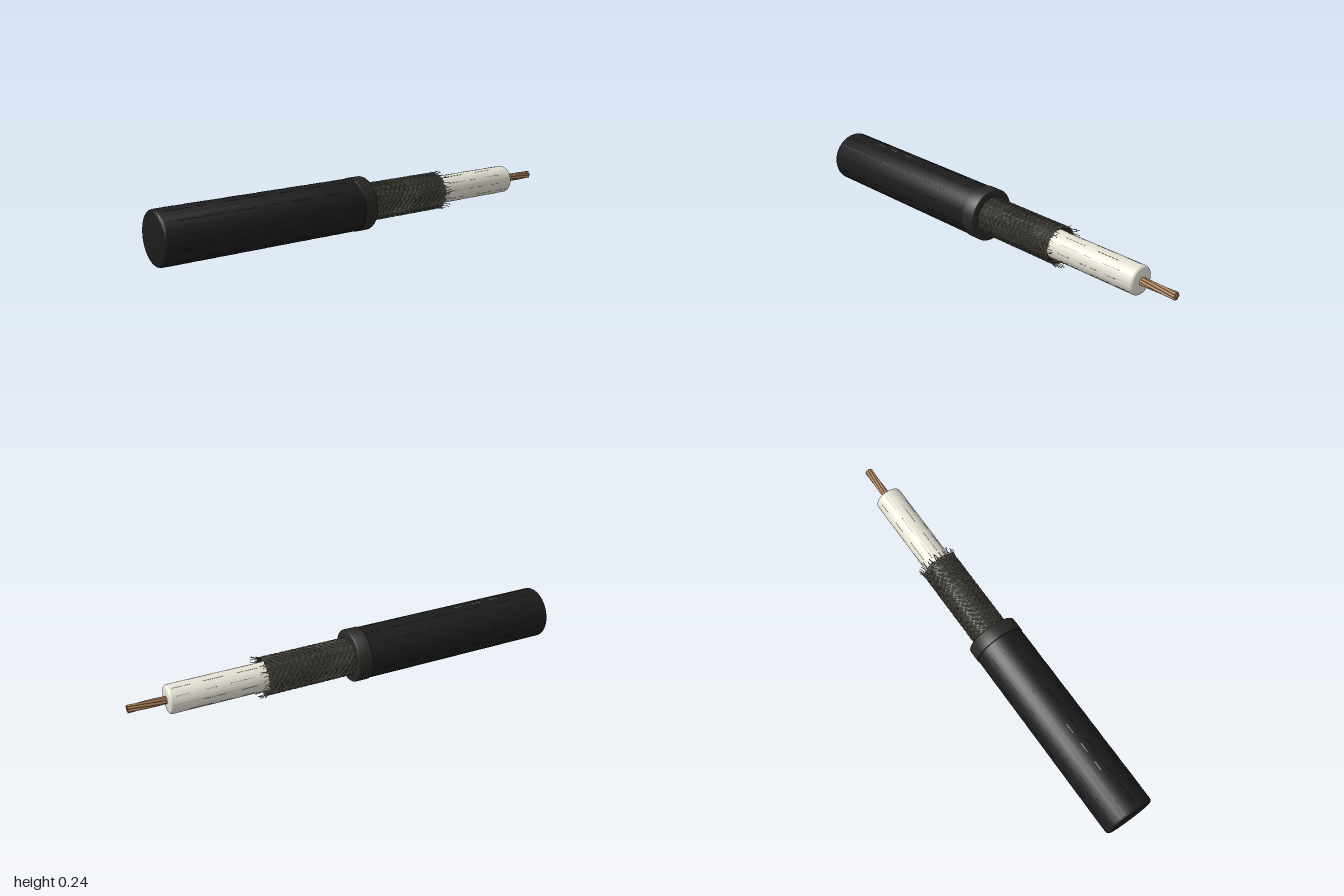
import * as THREE from 'three';
import { mergeGeometries, toCreasedNormals } from 'three/addons/utils/BufferGeometryUtils.js';

const mat = (color, side = THREE.FrontSide) => new THREE.MeshStandardMaterial({ color, side });

// small seeded generator for the frayed ends and scuffs
let seed = 7;
const rnd = () => {
  seed = (seed * 16807) % 2147483647;
  return seed / 2147483647;
};

// revolve [radius, x] pairs around the cable axis (x)
function turned(name, pairs, color) {
  const pts = pairs.map(([r, x]) => new THREE.Vector2(r, x));
  const geo = toCreasedNormals(new THREE.LatheGeometry(pts, 64).rotateZ(-Math.PI / 2), 0.6);
  const mesh = new THREE.Mesh(geo, mat(color));
  mesh.name = name;
  return mesh;
}

// quarter-round corner between an end face and the side wall
function corner(r, x, b, dir) {
  const out = [];
  for (let i = 0; i <= 5; i++) {
    const a = (i / 5) * Math.PI / 2;
    out.push([r - b + b * Math.sin(a), x - dir * (b - b * Math.cos(a))]);
  }
  return dir < 0 ? out : out.reverse();
}

const polar = (x, r, a) => new THREE.Vector3(x, r * Math.cos(a), r * Math.sin(a));

// tube through points given by f(t), t in 0..1
function wire(f, n, radius, sides) {
  const pts = [];
  for (let i = 0; i <= n; i++) pts.push(f(i / n));
  return new THREE.TubeGeometry(new THREE.CatmullRomCurve3(pts), n, radius, sides);
}

function merged(name, geos, color, side) {
  const mesh = new THREE.Mesh(mergeGeometries(geos), mat(color, side));
  mesh.name = name;
  return mesh;
}

// thin raised lines lying lengthwise on a cylinder
function dashes(name, r, x0, x1, rows, color) {
  const geos = [];
  for (let k = 0; k < rows; k++) {
    const a = ((k + 0.5) / rows) * Math.PI * 2;
    for (let x = x0 + rnd() * 0.05; x < x1 - 0.06;) {
      const len = Math.min(0.03 + rnd() * 0.08, x1 - x);
      geos.push(new THREE.BoxGeometry(len, 0.0012, 0.002).translate(x + len / 2, r, 0).rotateX(a));
      x += len + 0.02 + rnd() * 0.06;
    }
  }
  return merged(name, geos, color);
}

export function createModel() {
  const model = new THREE.Group();
  const cable = new THREE.Group();
  cable.name = 'cable';
  model.add(cable);

  // outer jacket with rounded rear end
  cable.add(turned('outerJacket', [
    [0, -0.996], ...corner(0.116, -0.996, 0.015, -1), [0.116, -0.06], [0.08, -0.06],
  ], 0x1c1c1c));
  cable.add(dashes('jacketScuffs', 0.116, -0.96, -0.08, 12, 0x121212));

  // light marks along the top of the jacket
  const marks = [-0.76, -0.665, -0.565].map((x) =>
    new THREE.BoxGeometry(0.045, 0.0014, 0.004).translate(x, 0.1162, 0));
  cable.add(merged('jacketMarks', marks, 0x8a8a84));

  // cut collar at the end of the jacket
  cable.add(turned('jacketCollar', [
    [0.114, -0.07], [0.119, -0.066], ...corner(0.119, -0.002, 0.008, 1), [0.084, -0.002], [0.08, -0.03],
  ], 0x2a2826));

  // dark sleeve beneath the braid, open around the insulation
  cable.add(turned('braidSleeve', [
    [0.08, -0.05], [0.08, 0.4], [0.077, 0.4], [0.07, 0.385], [0.06, 0.385],
  ], 0x34332e));

  // woven braid: bands of three wires in both directions, passing over and under
  const bands = 16;
  const braid = [];
  for (const dir of [-1, 1]) {
    for (let b = 0; b < bands; b++) {
      for (let w = -1; w <= 1; w++) {
        const start = ((b + w * 0.24) / bands) * Math.PI * 2;
        braid.push(wire((t) => {
          const turn = t * Math.PI * 2;
          const lift = 0.0018 * dir * Math.cos(turn * bands / 2 + b * Math.PI);
          return polar(-0.01 + t * 0.415, 0.0825 + lift, start + dir * turn);
        }, 72, 0.0017, 4));
      }
    }
  }
  cable.add(merged('braid', braid, 0x6e6c60));

  // loose wires at the cut end of the braid
  const frays = [];
  for (let i = 0; i < 56; i++) {
    const a = ((i + rnd() * 0.8) / 56) * Math.PI * 2;
    const len = 0.02 + rnd() * 0.035;
    const flare = -0.003 + rnd() * 0.014;
    const sweep = (rnd() - 0.5) * 0.35;
    frays.push(wire((t) => polar(0.39 + t * len, 0.083 + flare * t * t, a + sweep * t), 4, 0.0014, 4));
  }
  cable.add(merged('frayedWires', frays, 0x8c8a7e, THREE.DoubleSide));

  // pale inner insulation with rounded end
  cable.add(turned('insulation', [
    [0.063, 0.36], ...corner(0.063, 0.832, 0.012, 1), [0, 0.832],
  ], 0xe4e1d4));
  cable.add(dashes('insulationScuffs', 0.063, 0.42, 0.81, 10, 0x8e8b80));

  // twisted conductor: one core strand and six around it
  const strands = [];
  for (let k = 0; k < 7; k++) {
    const r = k < 6 ? 0.0118 : 0;
    const f = (t) => polar(0.81 + t * 0.188, r, (k / 6) * Math.PI * 2 + t * 1.4);
    strands.push(wire(f, 16, 0.006, 10));
    const cap = new THREE.CircleGeometry(0.006, 10).rotateY(Math.PI / 2);
    const p = f(1);
    strands.push(cap.translate(p.x, p.y, p.z));
  }
  cable.add(merged('conductorStrands', strands, 0xa67c52));

  // the cable lies slightly turned
  cable.rotation.y = -0.042;
  cable.position.set(0, 0.119, 0.021);
  return model;
}
